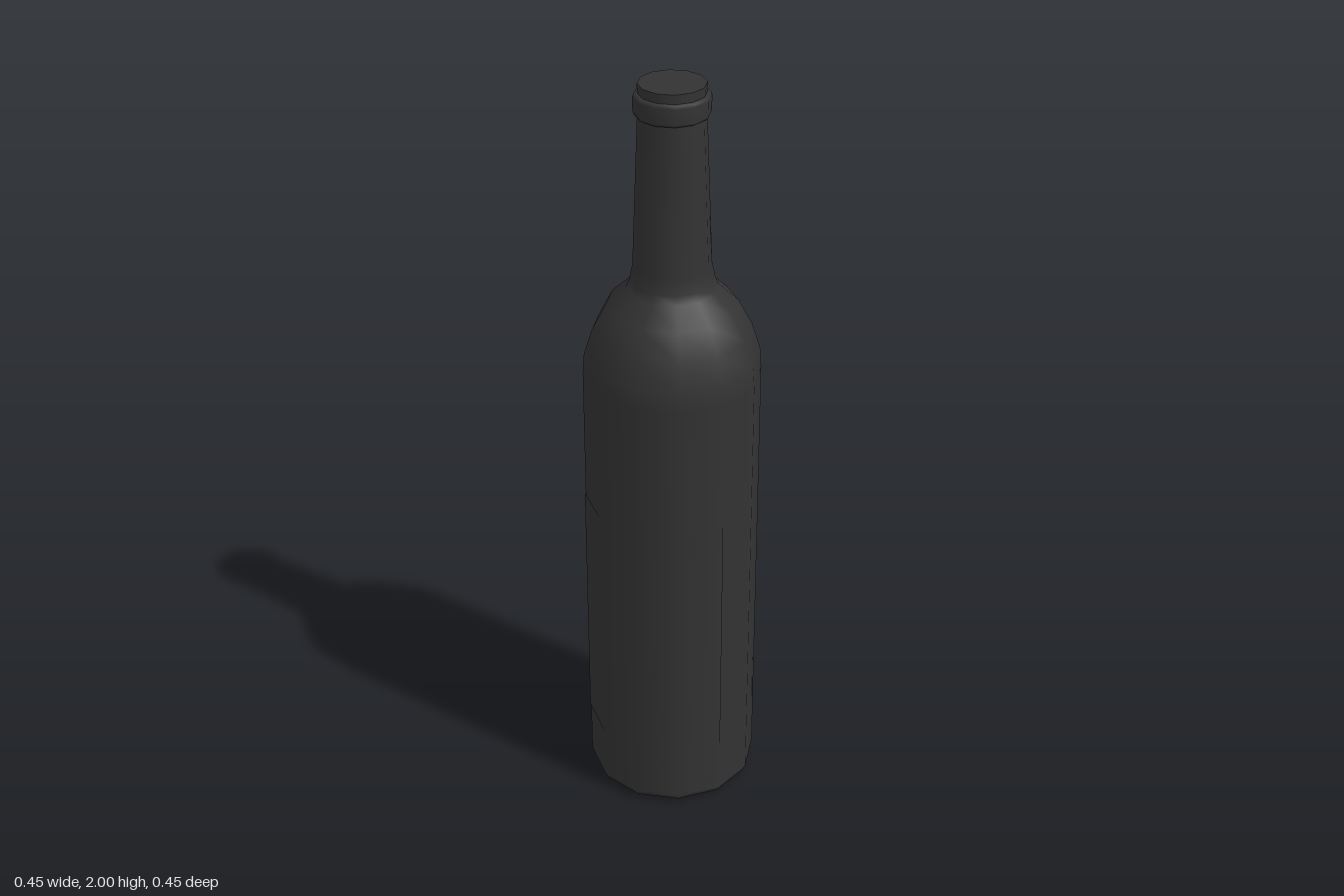
import * as THREE from 'three';

const SIDES = 12;

export function createModel() {
  const group = new THREE.Group();
  group.name = 'bottle';
  group.position.z = -0.001;
  const glass = new THREE.MeshStandardMaterial({ color: 0x333333 });
  const paper = new THREE.MeshStandardMaterial({ color: 0x333333, side: THREE.DoubleSide });

  // Turns a [radius, height] profile, listed from the bottom up
  function turn(name, profile, material = glass, sides = SIDES, start = 0, sweep = Math.PI * 2) {
    const points = profile.map(([r, y]) => new THREE.Vector2(r, y));
    const mesh = new THREE.Mesh(new THREE.LatheGeometry(points, sides, start, sweep), material);
    mesh.name = name;
    group.add(mesh);
  }

  // Hollow under the base
  turn('punt', [[0, 0.11], [0.05, 0.1], [0.1, 0.065], [0.145, 0.02], [0.175, 0.003], [0.19, 0]]);

  // Body, shoulder and tapering neck
  turn('body', [
    [0.19, 0], [0.205, 0.003], [0.218, 0.012], [0.226, 0.03], [0.226, 1.235],
    [0.222, 1.29], [0.2, 1.36], [0.166, 1.425], [0.115, 1.473],
    [0.106, 1.495], [0.098, 1.535], [0.083, 1.93],
  ]);

  // Raised ring below the mouth
  turn('lip', [
    [0.083, 1.921], [0.091, 1.923], [0.094, 1.93], [0.094, 1.968], [0.091, 1.975], [0.082, 1.977],
  ]);

  // Mouth and its flat closed top
  turn('mouth', [[0.083, 1.96], [0.083, 2]]);
  turn('stopper', [[0.083, 2], [0, 2]]);

  // Thin wrap around the front third
  turn('label', [[0.2285, 0.185], [0.2285, 0.88]], paper, 4, -Math.PI / 3, Math.PI * 2 / 3);

  return group;
}
